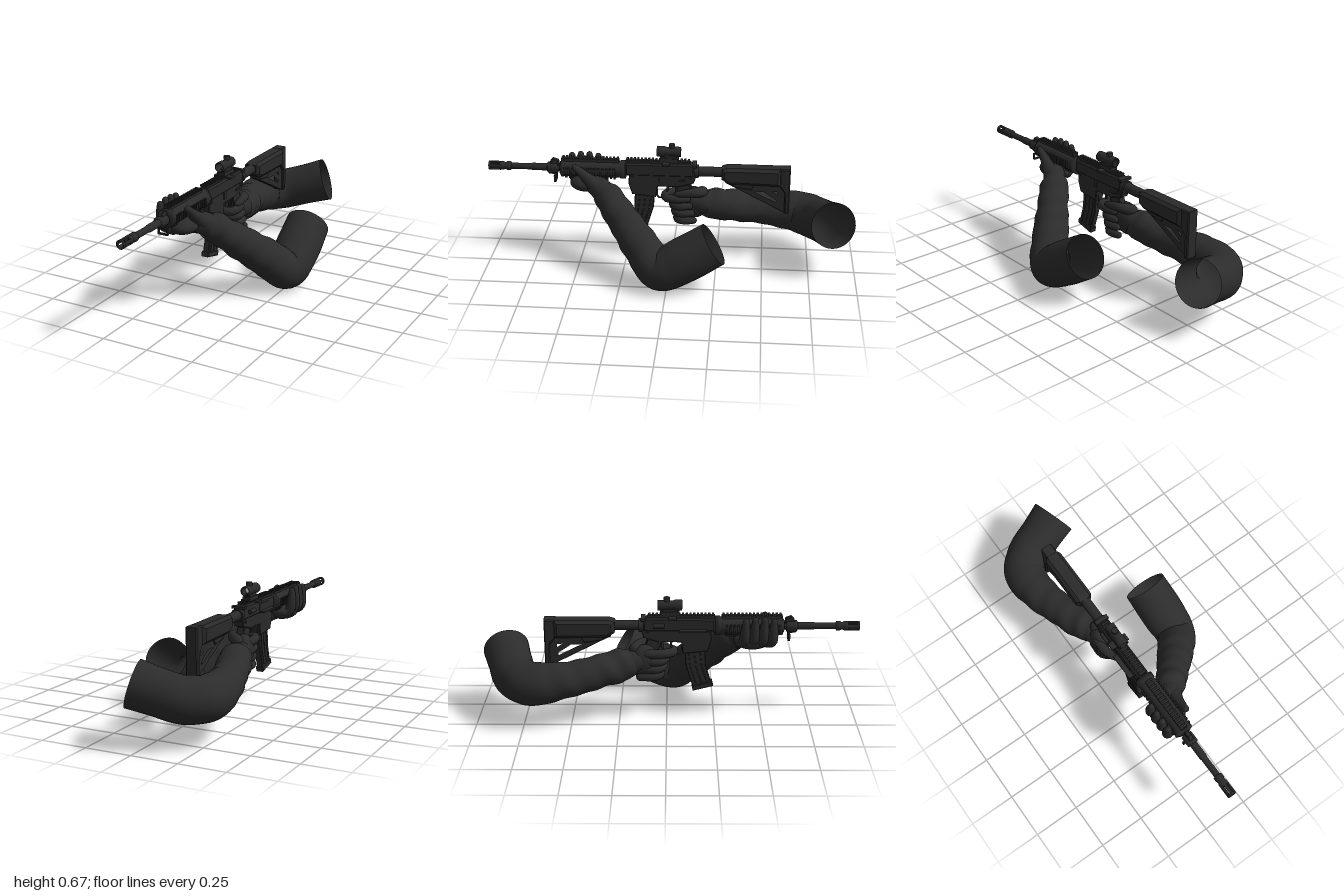
import * as THREE from 'three';

const mat = (name, color, side = THREE.FrontSide) => {
  const m = new THREE.MeshStandardMaterial({ color, side });
  m.name = name;
  return m;
};

export function createModel() {
  const root = new THREE.Group();
  root.name = 'armsHoldingRifle';
  const metal = mat('gunmetal', 0x2a2a2a);
  const sleeveMat = mat('sleeveFabric', 0x2c2c2c, THREE.DoubleSide);
  const gloveMat = mat('gloveFabric', 0x2b2b2b);
  const glass = mat('lensGlass', 0xffffff, THREE.DoubleSide);

  const gun = new THREE.Group();
  gun.name = 'rifle';
  gun.position.x = -0.127;
  root.add(gun);

  const add = (parent, name, geo, material = metal) => {
    const m = new THREE.Mesh(geo, material);
    m.name = name;
    parent.add(m);
    return m;
  };
  const box = (name, w, h, d, x, y, z) =>
    add(gun, name, new THREE.BoxGeometry(w, h, d).translate(x, y, z));
  // Turned part along the barrel axis; profile points are [radius, z], running forward on the outside
  const turned = (name, pts, y, seg = 24) =>
    add(gun, name, new THREE.LatheGeometry(pts.map(p => new THREE.Vector2(p[0], p[1])), seg)
      .rotateX(Math.PI / 2).translate(0, y, 0));
  const rod = (name, r, z0, z1, y, seg = 20, x = 0) =>
    add(gun, name, new THREE.CylinderGeometry(r, r, z1 - z0, seg).rotateX(Math.PI / 2).translate(x, y, (z0 + z1) / 2));
  // Plate cut from a side profile of [z, y] points
  const side = (name, pts, width, holes = [], bevel = 0.004) => {
    const toV = a => a.map(p => new THREE.Vector2(p[0], p[1]));
    const shape = new THREE.Shape(toV(pts));
    holes.forEach(h => shape.holes.push(new THREE.Path(toV(h))));
    const depth = width - 2 * bevel;
    const geo = new THREE.ExtrudeGeometry(shape, {
      depth, bevelEnabled: bevel > 0, bevelSize: bevel, bevelOffset: -bevel, bevelThickness: bevel, bevelSegments: 1,
    });
    return add(gun, name, geo.translate(0, 0, -depth / 2).rotateY(-Math.PI / 2));
  };

  // Barrel and slotted flash hider
  turned('barrel', [[0, 0.55], [0.02, 0.55], [0.02, 0.76], [0.017, 0.77], [0.017, 0.89], [0, 0.89]], 0.52);
  turned('flashHider', [[0.016, 0.875], [0.024, 0.88], [0.024, 0.9], [0.02, 0.905], [0.02, 0.915], [0.024, 0.92],
    [0.024, 0.94], [0.012, 0.94], [0.012, 0.93], [0, 0.93]], 0.52);
  turned('hiderEndRing', [[0.015, 0.988], [0.024, 0.988], [0.024, 1], [0.015, 1], [0.015, 0.988]], 0.52);
  for (let i = 0; i < 5; i++) {
    add(gun, 'hiderProng', new THREE.BoxGeometry(0.014, 0.009, 0.06).translate(0, 0.019, 0.965)
      .rotateZ(i * Math.PI * 0.4).translate(0, 0.52, 0));
  }

  // Gas block, front sight and sling loop
  turned('gasBlock', [[0.018, 0.62], [0.03, 0.62], [0.03, 0.675], [0.018, 0.68]], 0.52);
  side('foldedFrontSight', [[0.61, 0.53], [0.67, 0.53], [0.66, 0.56], [0.645, 0.575], [0.615, 0.565]], 0.026);
  side('bayonetLug', [[0.62, 0.505], [0.68, 0.505], [0.67, 0.485], [0.63, 0.48]], 0.022);
  box('slingLoopTop', 0.06, 0.008, 0.012, 0, 0.478, 0.635);
  box('slingLoopBottom', 0.054, 0.008, 0.012, 0, 0.448, 0.635);
  for (const s of [-1, 1]) box('slingLoopSide', 0.008, 0.034, 0.012, s * 0.026, 0.463, 0.635);

  // Handguard with a toothed rail on each side
  turned('handguard', [[0, 0.25], [0.051, 0.25], [0.051, 0.275], [0.046, 0.28], [0.046, 0.585], [0.05, 0.588], [0.05, 0.6],
    [0.037, 0.603], [0.034, 0.608], [0.02, 0.608]], 0.52);
  const rail = (angle, z0, z1, radius) => {
    const put = (name, w, h, d, r, z) => add(gun, name, new THREE.BoxGeometry(w, h, d)
      .translate(0, r, z).rotateZ(angle).translate(0, 0.52, 0));
    put('railBase', 0.032, 0.016, z1 - z0, radius - 0.008, (z0 + z1) / 2);
    const n = Math.round((z1 - z0) / 0.02);
    for (let i = 0; i < n; i++) put('railTooth', 0.04, 0.009, 0.011, radius + 0.003, z0 + (i + 0.5) * (z1 - z0) / n);
  };
  rail(0, 0.285, 0.6, 0.057);
  rail(0, -0.1, 0.25, 0.057);
  for (const a of [0.5, 1, 1.5]) rail(a * Math.PI, 0.3, 0.585, 0.045);

  // Upper and lower receiver
  side('upperReceiver', [[0.25, 0.565], [0.25, 0.495], [-0.12, 0.495], [-0.125, 0.555], [-0.1, 0.57]], 0.062, [], 0.008);
  side('lowerReceiver', [[0.23, 0.505], [0.235, 0.45], [0.215, 0.385], [0.085, 0.372], [0.075, 0.435], [-0.04, 0.435],
    [-0.12, 0.46], [-0.135, 0.505]], 0.054);
  box('ejectionCover', 0.03, 0.008, 0.145, -0.043, 0.505, 0.135);
  box('ejectionPort', 0.006, 0.032, 0.12, -0.031, 0.532, 0.12);
  rod('forwardAssist', 0.012, -0.07, -0.01, 0.53, 12, -0.036);
  box('chargingHandle', 0.075, 0.014, 0.024, 0, 0.562, -0.122);
  box('boltCatch', 0.008, 0.04, 0.018, 0.029, 0.48, 0.075);
  box('selector', 0.009, 0.01, 0.035, 0.03, 0.475, -0.06);
  for (const z of [0.215, -0.1]) {
    add(gun, 'receiverPin', new THREE.CylinderGeometry(0.009, 0.009, 0.064, 12).rotateZ(Math.PI / 2).translate(0, 0.485, z));
  }
  side('triggerGuard', [[0.09, 0.44], [0.085, 0.375], [0.07, 0.36], [0.0, 0.36], [-0.03, 0.4], [-0.03, 0.44]], 0.022,
    [[[0.078, 0.436], [0.076, 0.38], [0.066, 0.37], [0.003, 0.37], [-0.018, 0.4], [-0.018, 0.436]]], 0.001);
  side('trigger', [[0.03, 0.44], [0.015, 0.44], [0.018, 0.405], [0.034, 0.385], [0.028, 0.41]], 0.012, [], 0.001);
  side('pistolGrip', [[-0.02, 0.45], [-0.1, 0.45], [-0.15, 0.29], [-0.085, 0.265]], 0.042);

  // Curved magazine
  side('magazine', [[0.2, 0.42], [0.09, 0.42], [0.1, 0.3], [0.14, 0.17], [0.235, 0.195], [0.205, 0.3]], 0.036);
  side('magazineFloor', [[0.132, 0.185], [0.138, 0.157], [0.245, 0.184], [0.238, 0.212]], 0.044);
  for (const z of [-0.022, 0.008, 0.038]) {
    side('magazineRib', [[0.137 + z, 0.4], [0.131 + z, 0.4], [0.141 + z, 0.3], [0.172 + z, 0.2], [0.179 + z, 0.2],
      [0.147 + z, 0.3]], 0.042, [], 0.001);
  }

  // Buffer tube and sliding stock
  rod('bufferTube', 0.027, -0.4, -0.12, 0.522);
  rod('tubeNut', 0.036, -0.145, -0.12, 0.522, 16);
  side('stockBody', [[-0.27, 0.548], [-0.27, 0.49], [-0.31, 0.465], [-0.585, 0.46], [-0.585, 0.558], [-0.3, 0.558]], 0.092, [], 0.016);
  side('stockWeb', [[-0.28, 0.5], [-0.29, 0.465], [-0.34, 0.44], [-0.6, 0.305], [-0.62, 0.305], [-0.62, 0.5]], 0.036,
    [[[-0.44, 0.422], [-0.57, 0.355], [-0.57, 0.375], [-0.5, 0.422]], [[-0.54, 0.425], [-0.575, 0.4], [-0.575, 0.425]]], 0.003);
  side('buttPad', [[-0.58, 0.56], [-0.58, 0.46], [-0.61, 0.42], [-0.61, 0.3], [-0.637, 0.3], [-0.637, 0.56]], 0.066, [], 0.006);
  side('stockLever', [[-0.33, 0.482], [-0.33, 0.445], [-0.43, 0.43], [-0.46, 0.482]], 0.046);

  // Optic on a clamp mount, with the lens set deep in the tube
  box('opticMount', 0.046, 0.02, 0.1, 0, 0.59, 0.015);
  box('mountClamp', 0.104, 0.012, 0.04, 0, 0.57, 0.03);
  box('opticPedestal', 0.036, 0.02, 0.08, 0, 0.605, 0.015);
  turned('opticTube', [[0.021, -0.048], [0.027, -0.048], [0.027, -0.015], [0.025, -0.012], [0.025, 0.035], [0.028, 0.04],
    [0.028, 0.08], [0.021, 0.08], [0.021, -0.048]], 0.632);
  add(gun, 'lens', new THREE.CircleGeometry(0.0212, 24).translate(0, 0.632, 0.0), glass);
  add(gun, 'elevationTurret', new THREE.CylinderGeometry(0.017, 0.017, 0.02, 16).translate(0, 0.665, 0));

  // Soft tube through [x, y, z, radius] points, with optional round ends and cloth folds
  const limb = (parent, name, pts, material, { caps = true, folds = 0, steps = 14, sides = 14, seed = 0 } = {}) => {
    const curve = new THREE.CatmullRomCurve3(pts.map(p => new THREE.Vector3(p[0], p[1], p[2])));
    const radii = new THREE.CatmullRomCurve3(pts.map(p => new THREE.Vector3(p[3], 0, 0)), false, 'catmullrom');
    const frames = curve.computeFrenetFrames(steps, false);
    const rings = [];
    for (let i = 0; i <= steps; i++) {
      const u = i / steps, r = radii.getPoint(curve.getUtoTmapping(u)).x;
      rings.push({ p: curve.getPointAt(u), i, r, u });
    }
    if (caps) {
      const cap = (ring, dir) => [1, 2, 3, 4].map(k => {
        const a = k * Math.PI / 8;
        const p = ring.p.clone().addScaledVector(frames.tangents[ring.i], dir * ring.r * Math.sin(a));
        return { p, i: ring.i, r: ring.r * Math.cos(a), u: ring.u };
      });
      const start = cap(rings[0], -1).reverse(), end = cap(rings[steps], 1);
      rings.unshift(...start);
      rings.push(...end);
    }
    const pos = [], idx = [];
    rings.forEach(({ p, i, r, u }, k) => {
      for (let j = 0; j < sides; j++) {
        const a = j / sides * Math.PI * 2;
        const fade = Math.max(0, 1 - u * 1.25);
        const wave = Math.sin(u * 52 + 1.8 * Math.sin(a + seed)) + 0.7 * Math.sin(u * 29 - 2 * a + seed);
        const rr = r * (1 + folds * fade * wave);
        const v = p.clone().addScaledVector(frames.normals[i], Math.cos(a) * rr).addScaledVector(frames.binormals[i], Math.sin(a) * rr);
        pos.push(v.x, v.y, v.z);
        if (k < rings.length - 1) {
          const a0 = k * sides + j, b0 = k * sides + (j + 1) % sides;
          idx.push(a0, b0, a0 + sides, b0, b0 + sides, a0 + sides);
        }
      }
    });
    const geo = new THREE.BufferGeometry();
    geo.setAttribute('position', new THREE.Float32BufferAttribute(pos, 3));
    geo.setIndex(idx);
    geo.computeVertexNormals();
    return add(parent, name, geo, material);
  };
  const palm = (parent, name, c, r, tilt) => {
    const m = add(parent, name, new THREE.SphereGeometry(1, 24, 16).scale(...r), gloveMat);
    m.position.set(...c);
    m.rotation.set(...tilt);
  };

  // Left arm: supports the handguard from below
  const left = new THREE.Group();
  left.name = 'leftArm';
  root.add(left);
  limb(left, 'leftSleeve', [[-0.035, 0.425, 0.365, 0.064], [-0.01, 0.4, 0.33, 0.08], [0.035, 0.355, 0.285, 0.081], [0.09, 0.295, 0.225, 0.09],
    [0.18, 0.2, 0.13, 0.1], [0.25, 0.118, 0.035, 0.11], [0.25, 0.18, -0.09, 0.121], [0.24, 0.273, -0.243, 0.118]],
    sleeveMat, { caps: false, folds: 0.04, steps: 80, sides: 36, seed: 1 });
  limb(left, 'leftWrist', [[0.0, 0.39, 0.33, 0.06], [-0.05, 0.435, 0.38, 0.06], [-0.09, 0.445, 0.43, 0.05]], gloveMat, { sides: 20 });
  palm(left, 'leftPalm', [-0.122, 0.443, 0.45], [0.085, 0.048, 0.105], [0, 0.25, 0]);
  for (let i = 0; i < 4; i++) {
    const z = 0.4 + i * 0.048, top = 0.565 + (i === 1 || i === 2 ? 0.008 : 0);
    limb(left, 'leftFinger', [[-0.14, 0.43, z - 0.02, 0.026], [-0.185, 0.455, z, 0.028], [-0.194, 0.515, z + 0.005, 0.025],
      [-0.194, top, z + 0.008, 0.017]], gloveMat);
  }
  limb(left, 'leftThumb', [[-0.04, 0.445, 0.39, 0.048], [-0.05, 0.485, 0.44, 0.034], [-0.055, 0.525, 0.485, 0.024],
    [-0.056, 0.552, 0.515, 0.018]], gloveMat);

  // Right arm: holds the pistol grip
  const right = new THREE.Group();
  right.name = 'rightArm';
  root.add(right);
  limb(right, 'rightSleeve', [[-0.15, 0.33, -0.18, 0.07], [-0.165, 0.315, -0.23, 0.085], [-0.2, 0.295, -0.34, 0.088],
    [-0.235, 0.272, -0.46, 0.09], [-0.256, 0.256, -0.58, 0.102], [-0.25, 0.242, -0.7, 0.115], [-0.17, 0.245, -0.79, 0.117],
    [-0.05, 0.28, -0.835, 0.117], [0.06, 0.315, -0.87, 0.123]],
    sleeveMat, { caps: false, folds: 0.04, steps: 80, sides: 36, seed: 3 });
  limb(right, 'rightWrist', [[-0.165, 0.315, -0.23, 0.065], [-0.152, 0.33, -0.17, 0.065], [-0.145, 0.34, -0.12, 0.055]], gloveMat, { sides: 20 });
  palm(right, 'rightPalm', [-0.15, 0.33, -0.12], [0.054, 0.092, 0.075], [0.2, 0, 0]);
  for (let i = 0; i < 4; i++) {
    const y = 0.378 - i * 0.042, z = -0.012 * i, reach = i === 0 ? 0.03 : 0;
    limb(right, 'rightFinger', [[-0.175, y, z - 0.1, 0.025], [-0.174, y, z - 0.03, 0.025], [-0.145, y, z + reach, 0.024],
      [-0.095, y - 0.004, z + reach, 0.023], [-0.082, y - 0.006, z - 0.04, 0.022], [-0.088, y - 0.006, z - 0.085, 0.019]], gloveMat);
  }
  limb(right, 'rightThumb', [[-0.14, 0.395, -0.165, 0.032], [-0.095, 0.41, -0.13, 0.026], [-0.082, 0.408, -0.075, 0.021],
    [-0.084, 0.4, -0.035, 0.017]], gloveMat);

  return root;
}
